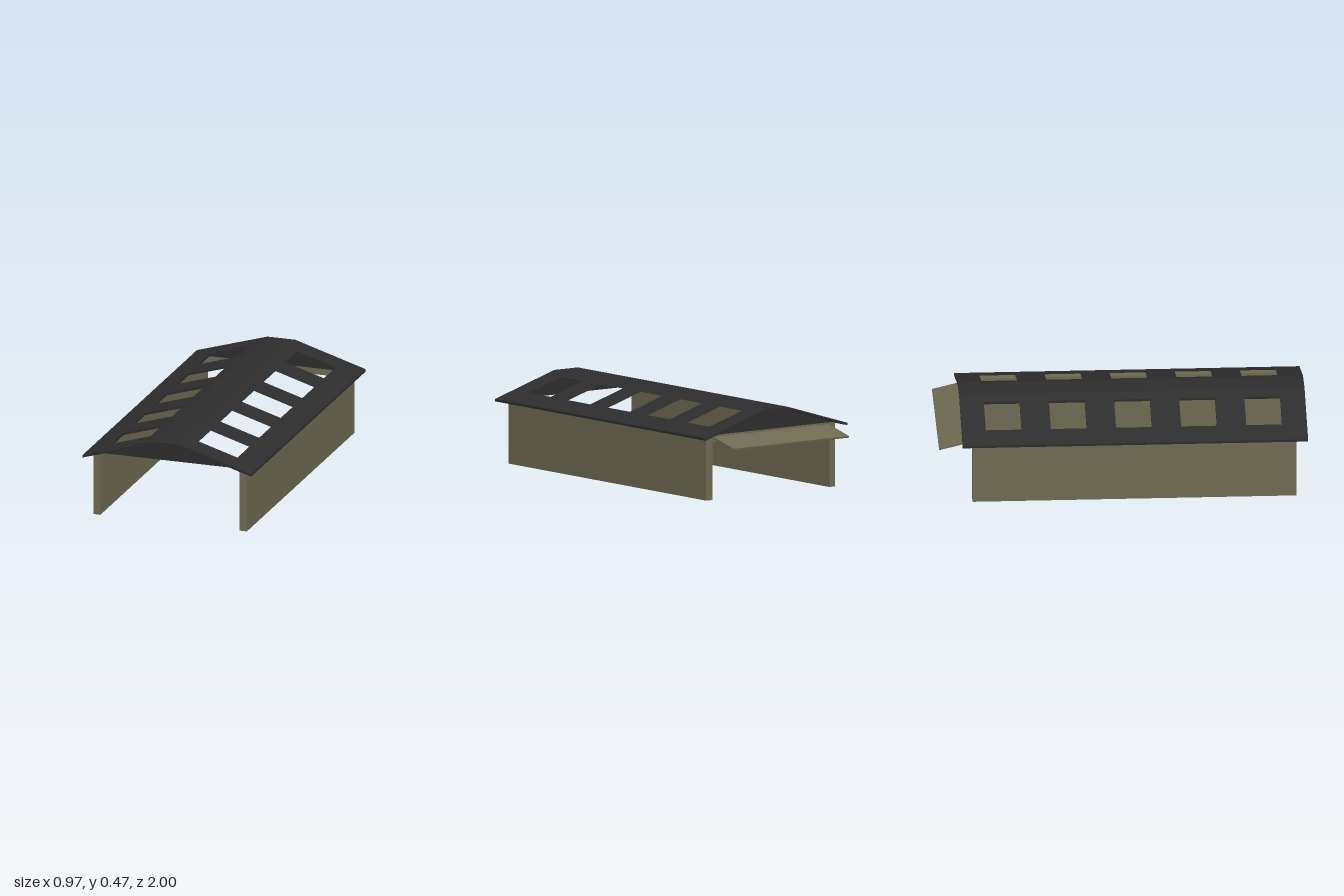
import * as THREE from 'three';

export function createModel() {
  const model = new THREE.Group();
  const roofMat = new THREE.MeshStandardMaterial({ color: 0x2d2d2d });
  roofMat.name = 'charcoal roof';
  const wallMat = new THREE.MeshStandardMaterial({ color: 0x6e6a52 });
  wallMat.name = 'olive wall';

  const FRONT = 0.94, BACK = -0.82;          // wall ends
  const ROOF_FRONT = 1, ROOF_BACK = -0.875;  // roof ends
  const RIDGE = 0.08, EAVE = 0.485, TOP = 0.474, PITCH = 0.304, THICK = 0.013;

  function add(name, geometry, material) {
    const mesh = new THREE.Mesh(geometry, material);
    mesh.name = name;
    model.add(mesh);
    return mesh;
  }

  function box(name, material, x0, x1, y0, y1, z0, z1) {
    const mesh = add(name, new THREE.BoxGeometry(x1 - x0, y1 - y0, z1 - z0), material);
    mesh.position.set((x0 + x1) / 2, (y0 + y1) / 2, (z0 + z1) / 2);
    return mesh;
  }

  // Rectangle outline in the ground plane (shape y is -z)
  function outline(target, x0, x1, z0, z1) {
    target.moveTo(x0, -z0);
    target.lineTo(x1, -z0);
    target.lineTo(x1, -z1);
    target.lineTo(x0, -z1);
    target.closePath();
    return target;
  }

  // Sloping roof panel with five skylight openings
  function roofSlope(name, side) {
    const shape = outline(new THREE.Shape(), side * RIDGE, side * EAVE, ROOF_BACK, ROOF_FRONT);
    for (let i = 0; i < 5; i++) {
      const z = -0.647 + i * 0.3535;
      const x = side * 0.25 - 0.002;
      shape.holes.push(outline(new THREE.Path(), x - 0.111, x + 0.111, z - 0.097, z + 0.097));
    }
    const geo = new THREE.ExtrudeGeometry(shape, { depth: THICK, bevelEnabled: false });
    geo.rotateX(-Math.PI / 2);
    // shear the flat panel down to the roof pitch
    const p = geo.attributes.position;
    for (let i = 0; i < p.count; i++) {
      p.setY(i, p.getY(i) + TOP - THICK - (Math.abs(p.getX(i)) - RIDGE) * PITCH);
    }
    geo.computeVertexNormals();
    add(name, geo, roofMat);
  }
  roofSlope('leftRoofSlope', 1);
  roofSlope('rightRoofSlope', -1);
  box('roofRidge', roofMat, -RIDGE, RIDGE, TOP - THICK, TOP, ROOF_BACK, ROOF_FRONT);

  // Gable infill under the roof at each end
  const gable = new THREE.Shape([
    new THREE.Vector2(-0.44, 0.355),
    new THREE.Vector2(0.44, 0.355),
    new THREE.Vector2(RIDGE, TOP - THICK),
    new THREE.Vector2(-RIDGE, TOP - THICK),
  ]);
  for (const [name, z] of [['frontGable', FRONT - 0.03], ['backGable', BACK]]) {
    const geo = new THREE.ExtrudeGeometry(gable, { depth: 0.03, bevelEnabled: false });
    add(name, geo, roofMat).position.z = z;
  }

  // Long side walls
  box('leftWall', wallMat, 0.398, 0.44, 0, 0.355, BACK, FRONT);
  box('rightWall', wallMat, -0.442, -0.402, 0, 0.355, BACK, FRONT);

  // Beam over the back opening
  box('backBeam', wallMat, -0.402, 0.398, 0.32, 0.355, BACK, BACK + 0.03);

  // Canopy tilted down from the back beam
  const rise = 0.044, run = 0.179;
  const canopy = add('backCanopy', new THREE.BoxGeometry(0.79, 0.01, Math.hypot(rise, run)), wallMat);
  canopy.position.set(-0.003, 0.318, BACK - run / 2);
  canopy.rotation.x = -Math.atan2(rise, run);

  return model;
}
